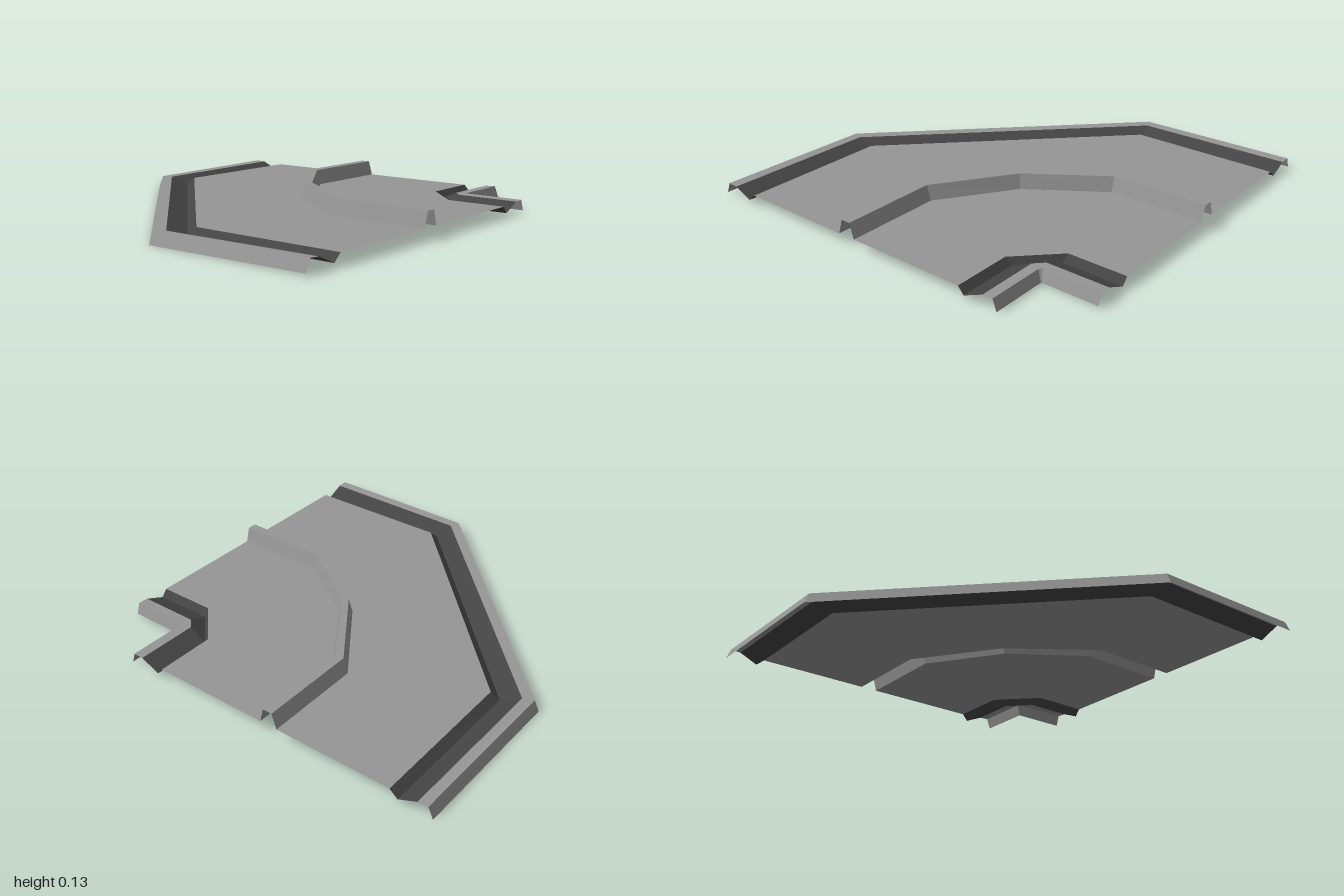
import * as THREE from 'three';

const paving = new THREE.MeshStandardMaterial({ name: 'paving grey', color: 0x969696, side: THREE.DoubleSide });
const asphalt = new THREE.MeshStandardMaterial({ name: 'gutter dark grey', color: 0x444444, side: THREE.DoubleSide });
const ROAD_Y = 0.055;

// Mirror half a line [x, y, z] across the bend's diagonal; keepLast is true when its last point lies on the diagonal
function bendLine(half, keepLast = false) {
  const other = half.map(([x, y, z]) => [-z, y, -x]).reverse();
  return half.concat(keepLast ? other.slice(1) : other);
}

// Outer curb and gutter lines: straight end, then corner (slightly lower by drop)
const outer = (x, y, zCorner, drop) => bendLine([[-x, y, -1], [-x, y - drop, zCorner]]);
// Lines around the small inner corner
const inner = (x, y, zCorner) => bendLine([[x, y, -1], [x, y, zCorner]]);
// Median lines: straight end, first bend, middle of the bend
const median = (x, y, mid) => bendLine([[x, y, -1], [x, y, -0.51], [mid, y, -mid]], true);

// Flat-shaded strips joining neighbouring lines
function strips(name, material, lines) {
  const pos = [];
  for (let r = 0; r < lines.length - 1; r++) {
    const a = lines[r], b = lines[r + 1];
    for (let i = 0; i < a.length - 1; i++) {
      pos.push(...a[i], ...a[i + 1], ...b[i], ...b[i], ...a[i + 1], ...b[i + 1]);
    }
  }
  const g = new THREE.BufferGeometry();
  g.setAttribute('position', new THREE.Float32BufferAttribute(pos, 3));
  g.computeVertexNormals();
  const mesh = new THREE.Mesh(g, material);
  mesh.name = name;
  return mesh;
}

// Flat road sheet between two lines
function sheet(name, from, to) {
  const outline = [...from, ...to.slice().reverse()].map(([x, , z]) => new THREE.Vector2(x, -z));
  const g = new THREE.ShapeGeometry(new THREE.Shape(outline));
  g.rotateX(-Math.PI / 2).translate(0, ROAD_Y, 0);
  const mesh = new THREE.Mesh(g, paving);
  mesh.name = name;
  return mesh;
}

export function createModel() {
  const model = new THREE.Group();
  model.name = 'roadBend';

  // Outer curb and V-shaped gutter
  const curbEdge = outer(0.925, 0.062, -0.19, 0.008);
  const roadOuter = outer(0.79, ROAD_Y, -0.235, 0);
  model.add(strips('outerCurb', paving, [
    outer(1, 0.01, -0.165, 0.01), outer(0.977, 0.065, -0.17, 0.01), curbEdge]));
  model.add(strips('outerGutter', asphalt, [curbEdge, outer(0.83, 0.02, -0.22, 0.002), roadOuter]));

  // Raised hollow median
  const medianOuter = median(-0.193, ROAD_Y, 0.1);
  const medianInner = median(-0.1, ROAD_Y, 0.148);
  model.add(strips('median', paving, [
    medianOuter, median(-0.17, 0.13, 0.112), median(-0.122, 0.13, 0.136), medianInner]));

  // Road sheets on both sides of the median
  const roadInner = inner(0.51, ROAD_Y, -0.7);
  model.add(sheet('outerRoad', roadOuter, medianOuter));
  model.add(sheet('innerRoad', medianInner, roadInner));

  // Inner gutter and curb
  const innerEdge = inner(0.64, 0.063, -0.685);
  model.add(strips('innerGutter', asphalt, [roadInner, inner(0.54, 0.02, -0.695), innerEdge]));
  model.add(strips('innerCurb', paving, [innerEdge, inner(0.692, 0.065, -0.705), inner(0.712, 0.01, -0.715)]));

  return model;
}
